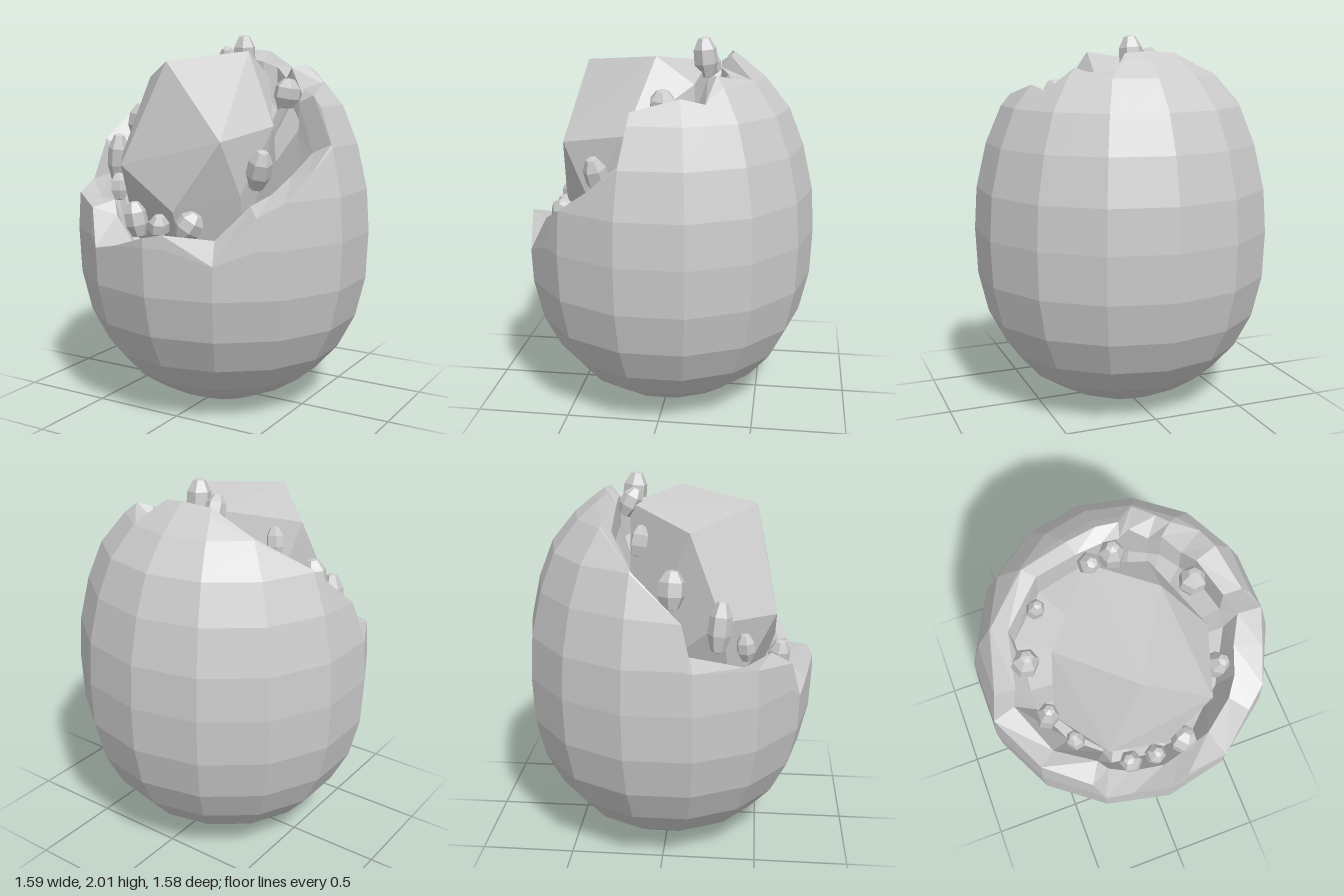
import * as THREE from 'three';
import { ConvexGeometry } from 'three/addons/geometries/ConvexGeometry.js';

const SIDES = 14;
const material = () => new THREE.MeshStandardMaterial({ color: 0xcccccc, flatShading: true, side: THREE.DoubleSide });

// Egg outline: [radius, height]
const PROFILE = [[0.19, 0], [0.37, 0.08], [0.52, 0.18], [0.64, 0.32], [0.73, 0.5], [0.78, 0.72], [0.79, 0.97],
  [0.775, 1.2], [0.72, 1.44], [0.64, 1.64], [0.51, 1.8], [0.4, 1.89], [0.3, 1.96]];

// Broken rim: [side number counted from the front, height, lip scale, lip height change]
const RIM = [[0, 1.02, 0.84, -0.04], [0.28, 1.04, 0.84, -0.05], [1, 0.9, 0.82, 0.1], [1.6, 1.13, 0.84, 0.04],
  [2, 1.2, 0.8, 0.02], [2.5, 1.32, 0.8, -0.02], [3, 1.46, 0.84, -0.05], [3.05, 1.7, 0.85, -0.04],
  [4, 1.76, 0.8, -0.04], [4.5, 1.73, 0.76, -0.05], [5, 1.85, 0.82, -0.02], [5.4, 1.83, 0.78, -0.06],
  [6, 1.81, 0.72, 0.02], [6.3, 1.92, 0.84, -0.06], [7, 1.93, 0.8, -0.05], [8, 1.92, 0.84, -0.06],
  [9, 1.81, 0.86, -0.04], [10, 1.65, 0.88, -0.07], [10.85, 1.42, 0.85, -0.08], [11, 1.19, 0.84, 0.04],
  [12, 1.16, 0.86, -0.02], [12.8, 1.12, 0.84, 0.03], [13, 0.92, 0.84, 0.16], [13.4, 0.95, 0.84, 0]];

function radiusAt(y) {
  for (let i = 1; i < PROFILE.length; i++) {
    const [r0, y0] = PROFILE[i - 1], [r1, y1] = PROFILE[i];
    if (y <= y1) return r0 + (r1 - r0) * (y - y0) / (y1 - y0);
  }
  return 0.3;
}

// Point on the fourteen-sided ring at a fractional side number
function ringPoint(u, r, y) {
  const corner = (k) => {
    const a = k * 2 * Math.PI / SIDES;
    return new THREE.Vector3(Math.sin(a) * r * 1.03, y, Math.cos(a) * r);
  };
  const k = Math.floor(u);
  return corner(k).lerp(corner(k + 1), u - k);
}

// Outer wall, broken lip and hollow as one closed grid
function shellGeometry() {
  const columns = RIM.map(([u, rimY, lip, lipDy]) => {
    const column = [new THREE.Vector3(0, 0, 0)];
    for (const [, level] of PROFILE) {
      const y = Math.min(level, rimY);
      column.push(ringPoint(u, radiusAt(y), y));
    }
    const r = radiusAt(rimY);
    column.push(ringPoint(u, r * lip, rimY + lipDy));
    column.push(ringPoint(u, Math.min(0.54, r * lip), rimY - 0.22));
    column.push(new THREE.Vector3(0, 0.9, 0));
    return column;
  });
  const points = [];
  const triangle = (a, b, c) => {
    const area = b.clone().sub(a).cross(c.clone().sub(a)).length();
    if (area > 1e-6) points.push(a, b, c);
  };
  columns.forEach((left, i) => {
    const right = columns[(i + 1) % columns.length];
    for (let k = 0; k < left.length - 1; k++) {
      triangle(left[k], right[k], right[k + 1]);
      triangle(left[k], right[k + 1], left[k + 1]);
    }
  });
  const geometry = new THREE.BufferGeometry().setFromPoints(points);
  geometry.computeVertexNormals();
  return geometry;
}

// Large faceted crystal
const CRYSTAL = [[-0.07, 1.87, 0.46], [0.18, 1.92, 0.05], [-0.4, 1.78, 0.13], [-0.1, 1.87, -0.2], [0.2, 1.78, -0.15],
  [0.4, 1.54, 0.18], [0.29, 1.48, 0.53], [-0.28, 1.34, 0.575], [-0.48, 1.35, 0.3], [0.04, 1.12, 0.58],
  [0.33, 1.2, 0.4], [0.3, 0.9, 0.3], [-0.35, 0.9, 0.35], [0.04, 0.85, 0.48], [0.25, 0.9, -0.2], [-0.25, 0.9, -0.2]];

// Small crystals: [x, y, z, length, width, tilt to the side, tilt to the front]
const SMALL = [[0.4, 1.33, 0.33, 0.22, 0.13, -0.3, 0.2], [0.38, 1.7, -0.01, 0.16, 0.14, -0.2, 0.1],
  [0.02, 1.9, -0.19, 0.22, 0.13, -0.25, 0.35], [-0.09, 1.87, -0.2, 0.16, 0.11, 0.2, 0.3],
  [-0.4, 1.74, -0.12, 0.16, 0.09, 0.2, 0.1], [-0.53, 1.53, 0.05, 0.2, 0.14, 0.2, 0.1],
  [-0.51, 1.34, 0.29, 0.27, 0.12, 0.25, 0.3], [-0.41, 1.2, 0.42, 0.15, 0.1, 0.5, 0.4],
  [-0.17, 1.07, 0.6, 0.19, 0.12, 0.2, 0.2], [-0.03, 1.04, 0.6, 0.14, 0.11, -0.2, 0.2],
  [0.14, 1.06, 0.58, 0.15, 0.14, -0.7, 0.2]];

export function createModel() {
  const group = new THREE.Group();
  const add = (name, geometry) => {
    const mesh = new THREE.Mesh(geometry, material());
    mesh.name = name;
    group.add(mesh);
    return mesh;
  };

  add('shell', shellGeometry());
  add('largeCrystal', new ConvexGeometry(CRYSTAL.map((p) => new THREE.Vector3(...p))));

  // Six-sided gems with tapered ends
  const gem = new THREE.LatheGeometry(
    [[0, -0.5], [0.3, -0.46], [0.5, -0.15], [0.48, 0.2], [0.24, 0.46], [0, 0.5]].map((p) => new THREE.Vector2(...p)), 6);
  SMALL.forEach(([x, y, z, length, width, side, front], i) => {
    const mesh = add('smallCrystal' + (i + 1), gem);
    mesh.position.set(x, y, z);
    mesh.scale.set(width, length, width);
    mesh.rotation.set(front, i * 0.7, side);
  });
  return group;
}
